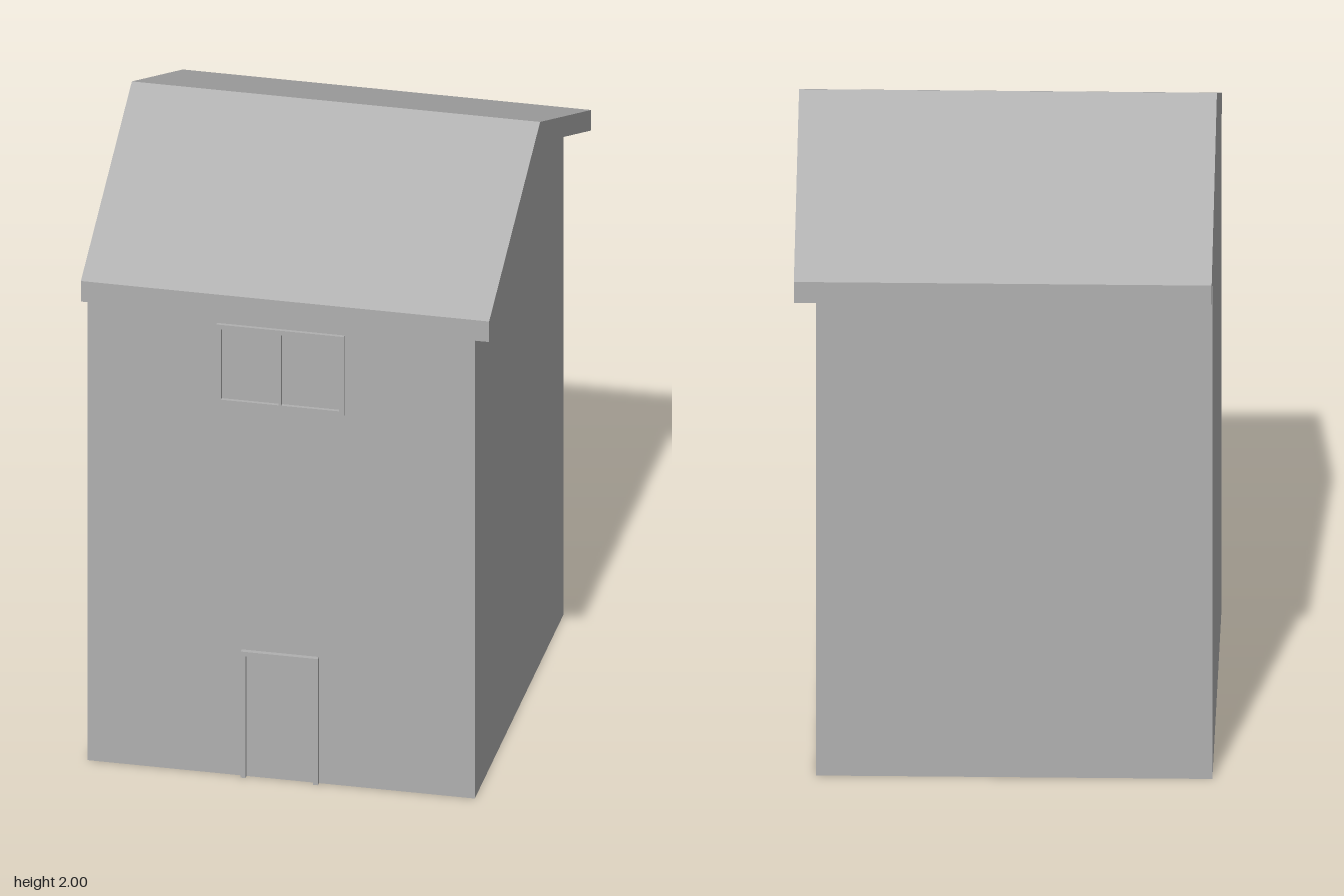
import * as THREE from 'three';

const plaster = new THREE.MeshStandardMaterial({ color: 0xb0b0b0 });
plaster.name = 'plainGrey';

// Extrude a (z, y) outline along x, from x0 to x1
function extrudeAlongX(name, points, x0, x1) {
  const shape = new THREE.Shape(points.map(([z, y]) => new THREE.Vector2(-z, y)));
  const geo = new THREE.ExtrudeGeometry(shape, { depth: x1 - x0, bevelEnabled: false });
  geo.rotateY(Math.PI / 2).translate(x0, 0, 0);
  const mesh = new THREE.Mesh(geo, plaster);
  mesh.name = name;
  return mesh;
}

// Box between two corners
function bar(name, x0, x1, y0, y1, z0, z1) {
  const mesh = new THREE.Mesh(new THREE.BoxGeometry(x1 - x0, y1 - y0, z1 - z0), plaster);
  mesh.name = name;
  mesh.position.set((x0 + x1) / 2, (y0 + y1) / 2, (z0 + z1) / 2);
  return mesh;
}

export function createModel() {
  const house = new THREE.Group();
  house.name = 'house';
  const wallZ = 0.632, t = 0.015;

  // Gabled wall block, flush with the roof at -x
  house.add(extrudeAlongX('walls', [
    [-wallZ, 0], [wallZ, 0], [wallZ, 1.651], [0, 1.93], [-wallZ, 1.651],
  ], -0.635, 0.57));

  // Pitched roof slab with overhanging eaves
  house.add(extrudeAlongX('roof', [
    [-0.725, 1.61], [0, 1.93], [0.725, 1.61], [0.725, 1.68], [0, 2], [-0.725, 1.68],
  ], -0.635, 0.635));

  // Door surround: two jambs and a lintel
  const door = new THREE.Group();
  door.name = 'doorFrame';
  const doorZ = 0.647;
  door.add(
    bar('doorJambRight', -0.155, -0.155 + t, 0, 0.415, wallZ, doorZ),
    bar('doorJambLeft', 0.085 - t, 0.085, 0, 0.415, wallZ, doorZ),
    bar('doorLintel', -0.155, 0.085, 0.415, 0.43, wallZ, doorZ),
  );
  house.add(door);

  // Window surround with a thin central mullion
  const win = new THREE.Group();
  win.name = 'windowFrame';
  const winZ = 0.643;
  win.add(
    bar('windowJambRight', -0.232, -0.232 + t, 1.28, 1.52, wallZ, winZ),
    bar('windowJambLeft', 0.165 - t, 0.165, 1.28, 1.52, wallZ, winZ),
    bar('windowHead', -0.232, 0.165, 1.52, 1.535, wallZ, winZ),
    bar('windowSill', -0.232, 0.165, 1.265, 1.28, wallZ, winZ),
    bar('windowMullion', -0.038, -0.03, 1.28, 1.52, wallZ, winZ),
  );
  house.add(win);

  return house;
}
